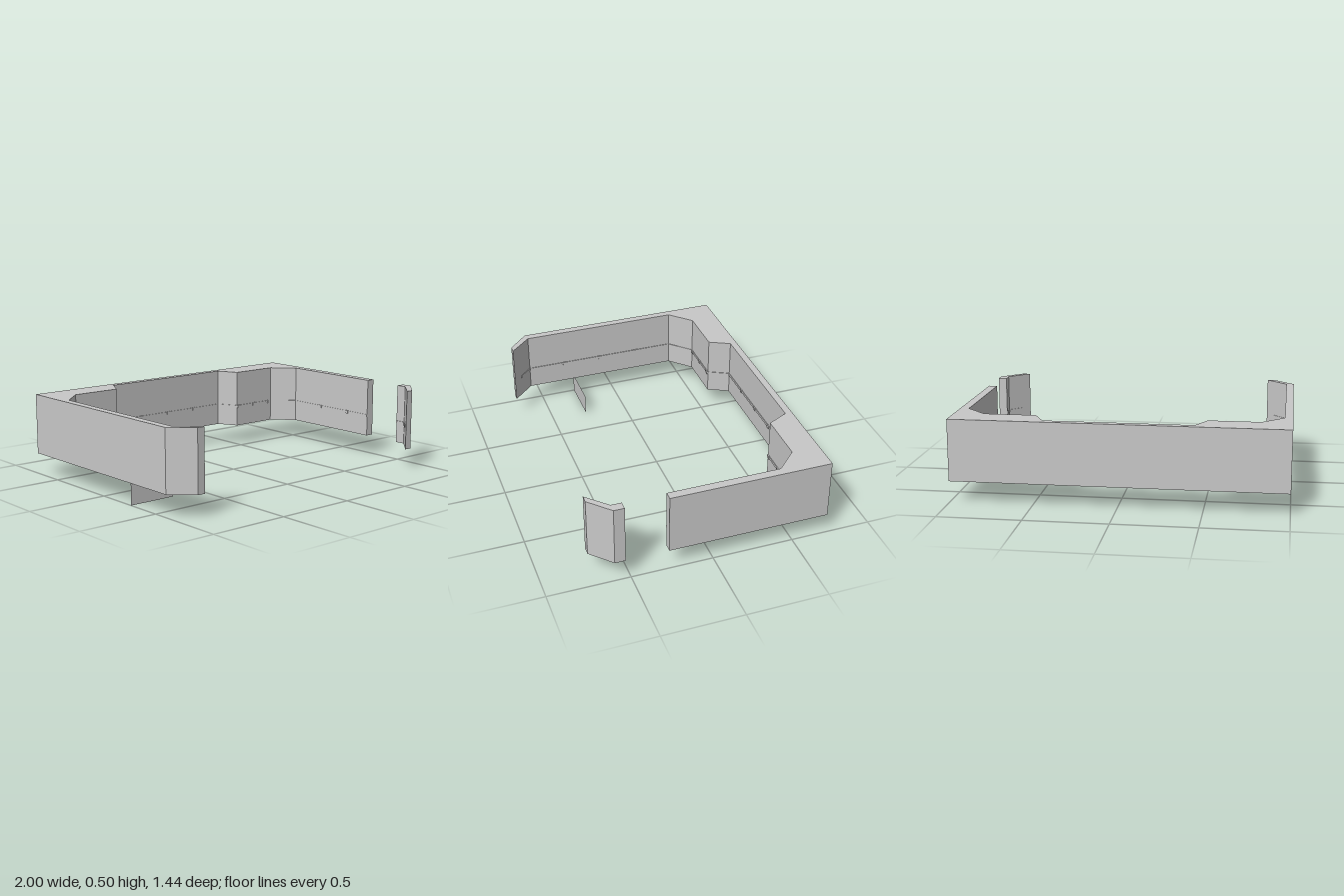
import * as THREE from 'three';

const BASE = 0.13, TOP = 0.505, RAIL_Y = 0.265;

export function createModel() {
  const group = new THREE.Group();
  const grey = new THREE.MeshStandardMaterial({ color: 0xc8c8c8 });
  grey.name = 'plaster grey';
  const greyThin = grey.clone();
  greyThin.name = 'plaster grey';
  greyThin.side = THREE.DoubleSide;

  const add = (name, geometry, material = grey) => {
    const mesh = new THREE.Mesh(geometry, material);
    mesh.name = name;
    group.add(mesh);
    return mesh;
  };

  // Vertical prism from a plan outline given as [x, z] points
  const wall = (name, plan) => {
    const shape = new THREE.Shape(plan.map(([x, z]) => new THREE.Vector2(x, -z)));
    const g = new THREE.ExtrudeGeometry(shape, { depth: TOP - BASE, bevelEnabled: false });
    g.rotateX(-Math.PI / 2).translate(0, BASE, 0);
    add(name, g);
  };

  // Inner face of the main wall, from the left end round to the front right
  const inner = [
    [0.947, 0.27], [0.947, -0.42], [0.82, -0.548], [0.505, -0.548], [0.44, -0.677],
    [-0.445, -0.677], [-0.51, -0.548], [-0.82, -0.548], [-0.952, -0.42],
    [-0.952, 0.585], [-0.825, 0.717],
  ];
  wall('mainWall', [...inner, [-0.873, 0.717], [-1, 0.595], [-1, -0.72], [1, -0.72], [1, 0.27]]);

  // Short wall beyond the doorway
  const stub = [[0.825, 0.717], [0.947, 0.595], [0.947, 0.53]];
  wall('doorwayWall', [...stub, [1, 0.53], [1, 0.595], [0.873, 0.717]]);

  // Thin rail following the inner faces
  const rail = (points) => {
    for (let i = 0; i < points.length - 1; i++) {
      const [x0, z0] = points[i], [x1, z1] = points[i + 1];
      const bar = add('wallRail', new THREE.BoxGeometry(Math.hypot(x1 - x0, z1 - z0), 0.016, 0.008));
      bar.position.set((x0 + x1) / 2, RAIL_Y, (z0 + z1) / 2);
      bar.rotation.y = -Math.atan2(z1 - z0, x1 - x0);
    }
  };
  const between = ([ax, az], [bx, bz], t) => [ax + (bx - ax) * t, az + (bz - az) * t];
  rail([...inner.slice(0, -1), between(inner[9], inner[10], 0.6)]);
  rail([between(stub[0], stub[1], 0.4), stub[1], stub[2]]);

  // Small rail clips
  const clip = (x, z, turn = 0) => {
    const c = add('railClip', new THREE.BoxGeometry(0.024, 0.02, 0.016));
    c.position.set(x, RAIL_Y, z);
    c.rotation.y = turn;
  };
  for (const x of [-0.225, 0, 0.22]) clip(x, -0.677);
  for (const x of [-0.8, -0.665, -0.525, 0.52, 0.66, 0.8]) clip(x, -0.548);
  for (const z of [-0.17, 0.085, 0.34]) clip(-0.952, z, Math.PI / 2);
  for (const z of [-0.17, 0.085]) clip(0.947, z, Math.PI / 2);

  // Flat panel hanging below the right wall
  const panel = add('lowerPanel', new THREE.PlaneGeometry(0.3, BASE), greyThin);
  panel.position.set(-0.85, BASE / 2, 0.27);

  return group;
}
